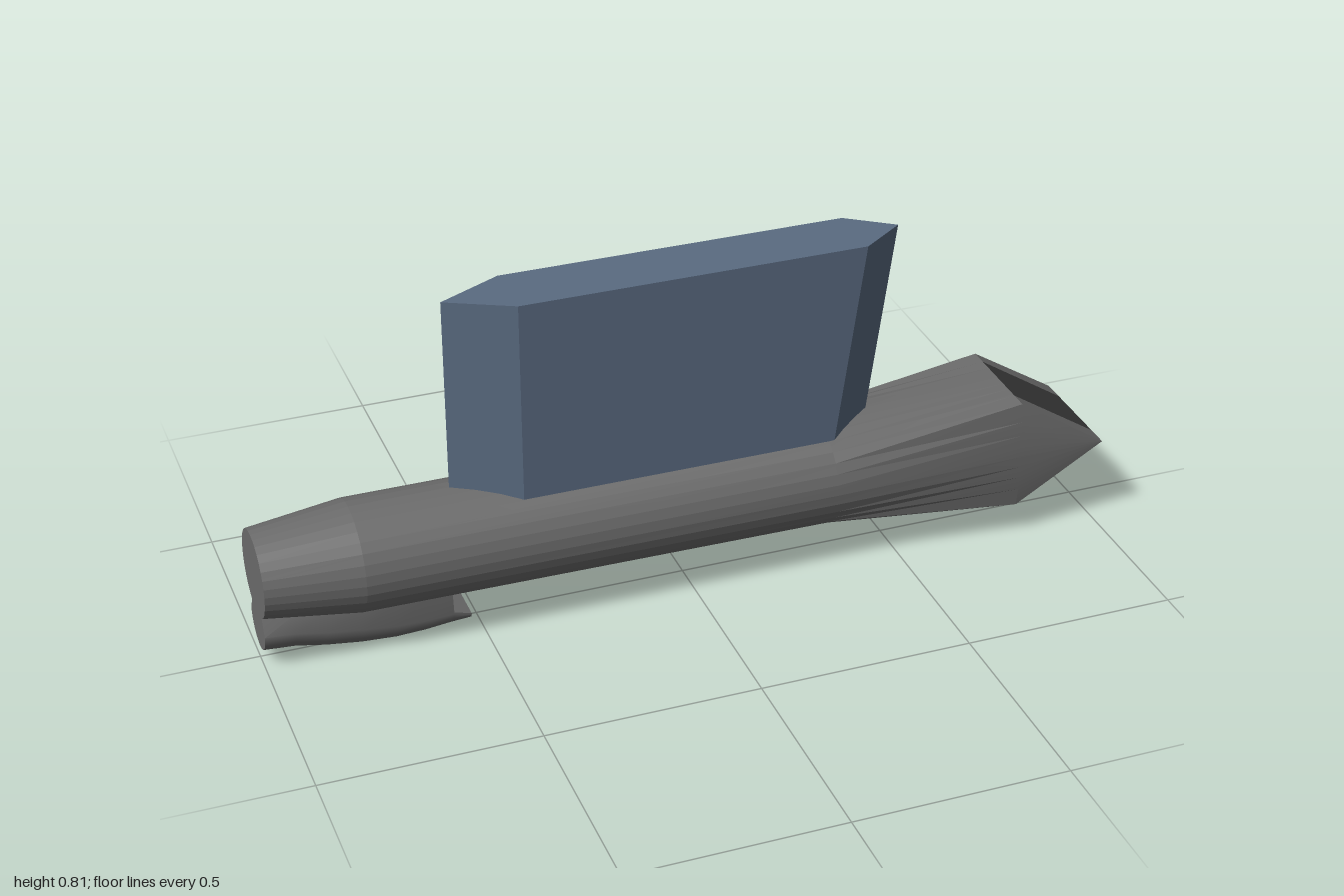
import * as THREE from 'three';
import { toCreasedNormals } from 'three/addons/utils/BufferGeometryUtils.js';

const SEG = 32;
const ANGLES = Array.from({ length: SEG }, (_, i) => (i / SEG) * Math.PI * 2);

// Skin rings that follow each other; keep(s, i) selects which quads to build
function loft(rings, crease, keep = () => true, caps = [true, true]) {
  const pos = rings.flat(2), index = [], n = rings[0].length;
  rings.slice(0, -1).forEach((ring, s) => {
    for (let i = 0; i < n; i++) {
      if (!keep(s, i)) continue;
      const j = (i + 1) % n, a = s * n + i, b = a + n, c = s * n + j, d = c + n;
      index.push(a, c, b, c, d, b);
    }
  });
  [0, rings.length - 1].forEach((s, end) => {
    if (!caps[end]) return;
    const mid = [0, 1, 2].map(k => rings[s].reduce((sum, p) => sum + p[k], 0) / n);
    const m = pos.length / 3;
    pos.push(...mid);
    for (let i = 0; i < n; i++) {
      const a = s * n + i, b = s * n + (i + 1) % n;
      index.push(m, end ? a : b, end ? b : a);
    }
  });
  const g = new THREE.BufferGeometry();
  g.setAttribute('position', new THREE.Float32BufferAttribute(pos, 3));
  g.setIndex(index);
  return toCreasedNormals(g, crease);
}

// Round hull section
const roundRing = (x, y, ry, rz) =>
  ANGLES.map(t => [x, y + ry * Math.cos(t), rz * Math.sin(t)]);

// Box section with slightly bulging sides; k squeezes it to a horizontal edge
const boxRing = (x, k) => ANGLES.map(t => {
  const c = Math.cos(t), s = Math.sin(t), m = Math.max(Math.abs(c), Math.abs(s));
  const u = (c / m) * k, side = Math.abs(s / m) > 0.99;
  const w = 0.128 + (side ? 0.012 * (1 - u * u) : 0);
  return [x, 0.224 + 0.136 * u, (s / m) * w];
});

// U section: flat top of half width w, round bottom
function scoopRing([x, bottom, top, depth, w]) {
  const r = 0.065, z0 = 0.006, ring = [[x, top, z0 - w], [x, top, z0 + w]];
  for (let i = 0; i <= 14; i++) {
    const a = (i / 14) * Math.PI;
    ring.push([x, bottom + depth * (1 - Math.sin(a)), z0 + r * Math.cos(a)]);
  }
  return ring;
}

export function createModel() {
  const grey = new THREE.MeshStandardMaterial({ color: 0x6c6c6c });
  grey.name = 'hull grey';
  const dark = new THREE.MeshStandardMaterial({ color: 0x3b3b3b });
  dark.name = 'dark panel grey';
  const blue = new THREE.MeshStandardMaterial({ color: 0x5a6b81 });
  blue.name = 'fin blue';

  const model = new THREE.Group();
  model.name = 'finnedPod';
  const add = (name, geometry, material) => {
    const mesh = new THREE.Mesh(geometry, material);
    mesh.name = name;
    model.add(mesh);
  };

  // Hull: round tail, blending into a wedge nose
  const rings = [
    roundRing(-1, 0.222, 0.1, 0.105),
    roundRing(-0.78, 0.221, 0.126, 0.137),
    roundRing(0.33, 0.216, 0.131, 0.138),
    boxRing(0.79, 1),
    boxRing(1, 0),
  ];
  const isTop = i => i < 3 || i >= SEG - 3;
  const isBottom = i => i >= 13 && i < 19;
  const isPanel = (s, i) => (s === 3 && isTop(i)) || (s >= 2 && isBottom(i));
  add('hull', loft(rings, 0.1, (s, i) => !isPanel(s, i), [true, false]), grey);
  add('nosePanels', loft(rings, 0.1, isPanel, [false, false]), dark);

  // Fin: six-sided section, leading edge raked forward with height
  const finRing = (y, front) => [
    [-0.55, y, 0], [-0.4, y, 0.075], [front - 0.105, y, 0.075],
    [front, y, 0], [front - 0.105, y, -0.075], [-0.4, y, -0.075],
  ];
  add('fin', loft([finRing(0.25, 0.437), finRing(0.81, 0.515)], 0.1), blue);

  // Tail scoop under the hull: x, bottom, top, depth of the round part, top half width
  const scoop = [
    [-1, 0.036, 0.135, 0.06, 0.045], [-0.93, 0.031, 0.13, 0.06, 0.05],
    [-0.86, 0.017, 0.125, 0.06, 0.055], [-0.78, 0.006, 0.12, 0.06, 0.06],
    [-0.7, 0.002, 0.12, 0.055, 0.065], [-0.63, 0.006, 0.12, 0.05, 0.065],
    [-0.572, 0.014, 0.12, 0.045, 0.065], [-0.57, 0.014, 0.064, 0.045, 0.065],
    [-0.53, 0.025, 0.052, 0.025, 0.065],
  ];
  add('tailScoop', loft(scoop.map(scoopRing), 0.5), grey);

  return model;
}
